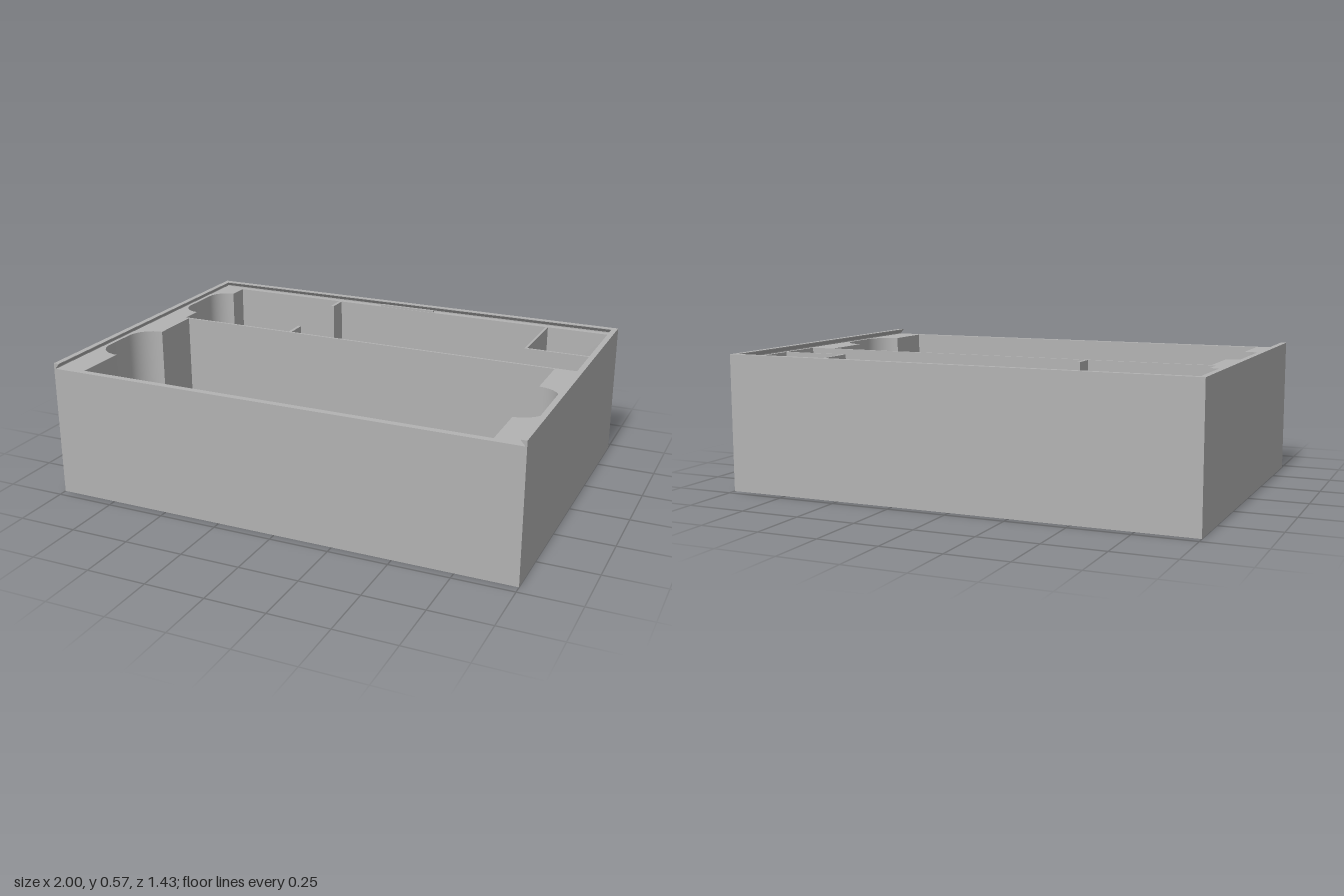
import * as THREE from 'three';
import { toCreasedNormals } from 'three/addons/utils/BufferGeometryUtils.js';

const W = 1, D = 0.713, LEDGE = 0.552, TOP = 0.575, FLOOR = 0.02;

// rectangle and quarter-arc helpers, points are [x, z]
const rect = (x0, x1, z0, z1) => [[x0, z0], [x1, z0], [x1, z1], [x0, z1]];
function arc(cx, cz, r, fromDeg) {
  const pts = [];
  for (let i = 0; i <= 12; i++) {
    const a = (fromDeg + 90 * i / 12) * Math.PI / 180;
    pts.push([cx + r * Math.cos(a), cz + r * Math.sin(a)]);
  }
  return pts;
}

function fromTriangles(positions) {
  const g = new THREE.BufferGeometry();
  g.setAttribute('position', new THREE.Float32BufferAttribute(positions, 3));
  return toCreasedNormals(g, 0.5);
}

// vertical wall around a loop, facing outward or inward, with an optional peaked roof
function wall(loop, y0, y1, outward, peak) {
  const clockwise = THREE.ShapeUtils.isClockWise(loop.map(([x, z]) => new THREE.Vector2(x, z)));
  const pts = clockwise === outward ? loop : [...loop].reverse();
  const mid = [0, 1].map(k => pts.reduce((s, p) => s + p[k], 0) / pts.length);
  const out = [];
  pts.forEach((a, i) => {
    const b = pts[(i + 1) % pts.length];
    out.push(a[0], y0, a[1], b[0], y0, b[1], b[0], y1, b[1]);
    out.push(a[0], y0, a[1], b[0], y1, b[1], a[0], y1, a[1]);
    if (peak) out.push(a[0], y1, a[1], b[0], y1, b[1], mid[0], peak, mid[1]);
  });
  return fromTriangles(out);
}

// flat face with holes, facing up or down
function cap(loop, holes, y, up) {
  const s = up ? -1 : 1;
  const vecs = l => l.map(([x, z]) => new THREE.Vector2(x, s * z));
  const shape = new THREE.Shape(vecs(loop));
  holes.forEach(h => shape.holes.push(new THREE.Path(vecs(h))));
  return new THREE.ShapeGeometry(shape).rotateX(s * Math.PI / 2).translate(0, y, 0);
}

export function createModel() {
  const group = new THREE.Group();
  group.name = 'sortingTray';
  const grey = new THREE.MeshStandardMaterial({ color: 0xb2b2b2 });
  grey.name = 'grey plastic';
  const add = (name, geometry) => {
    const mesh = new THREE.Mesh(geometry, grey);
    mesh.name = name;
    group.add(mesh);
    return mesh;
  };

  const outline = rect(-W, W, -D, D);

  // large front compartment with a rounded finger recess at each end
  const front = [
    [-0.87, -0.125], [0.87, -0.125],
    ...arc(0.87, 0.21, 0.105, -90), ...arc(0.87, 0.355, 0.105, 0),
    [0.87, 0.685], [-0.87, 0.685],
    ...arc(-0.87, 0.355, 0.105, 90), ...arc(-0.87, 0.21, 0.105, 180),
  ];
  // back compartment with two divider ribs, one recess and a boxed-off corner
  const back = [
    [-0.89, -0.675], [-0.355, -0.675], [-0.355, -0.585], [-0.34, -0.585], [-0.34, -0.675],
    [0.68, -0.675], [0.68, -0.335], [0.975, -0.335], [0.975, -0.135],
    [-0.34, -0.135], [-0.34, -0.23], [-0.355, -0.23], [-0.355, -0.135], [-0.89, -0.135],
    ...arc(-0.89, -0.315, 0.085, 90), ...arc(-0.89, -0.495, 0.085, 180),
  ];
  const corner = rect(0.69, 0.975, -0.675, -0.345);

  const compartments = [
    ['frontCompartment', front, FLOOR],
    ['backCompartment', back, FLOOR],
    ['cornerCompartment', corner, 0.29],
  ];
  for (const [name, loop, y] of compartments) {
    add(name + 'Walls', wall(loop, y, LEDGE, false));
    add(name + 'Floor', cap(loop, [], y, true));
  }

  // hollows under the solid blocks, open at the base: loop, wall top, roof peak
  const hollows = [
    [rect(0.70, 0.96, -0.66, -0.355), 0.09, 0.25],
    [rect(-0.97, -0.91, -0.66, -0.6), 0.48, 0.52],
    [rect(-0.97, -0.91, -0.21, -0.15), 0.48, 0.52],
  ];
  for (const s of [-1, 1]) {
    const [x0, x1] = s > 0 ? [0.885, 0.975] : [-0.975, -0.885];
    hollows.push([rect(x0, x1, -0.105, 0.085), 0.48, 0.52]);
    hollows.push([rect(x0, x1, 0.475, 0.67), 0.48, 0.52]);
  }
  for (const [loop, y, peak] of hollows) add('baseHollow', wall(loop, 0, y, false, peak));

  // outer shell, ledge for the sliding lid, and base
  add('outerShell', wall(outline, 0, LEDGE, true));
  add('lidLedge', cap(outline, [front, back, corner], LEDGE, true));
  add('base', cap(outline, hollows.map(h => h[0]), 0, false));

  // undercut rails on three sides; the front stays open for the lid
  const rail = (edge, length) => {
    const shape = new THREE.Shape([
      [edge, LEDGE], [edge, TOP], [edge - 0.024, TOP], [edge - 0.024, TOP - 0.003],
      [edge - 0.009, LEDGE + 0.004], [edge - 0.009, LEDGE],
    ].map(([x, y]) => new THREE.Vector2(x, y)));
    return new THREE.ExtrudeGeometry(shape, { depth: length, bevelEnabled: false })
      .translate(0, 0, -length / 2);
  };
  add('leftRail', rail(W, 2 * D));
  add('rightRail', rail(W, 2 * D).rotateY(Math.PI));
  add('backRail', rail(D, 2 * W).rotateY(Math.PI / 2));

  // small catch for the lid on the back ledge
  add('lidCatch', new THREE.BoxGeometry(0.265, 0.009, 0.012)).position.set(0, LEDGE + 0.0045, -0.684);

  return group;
}
